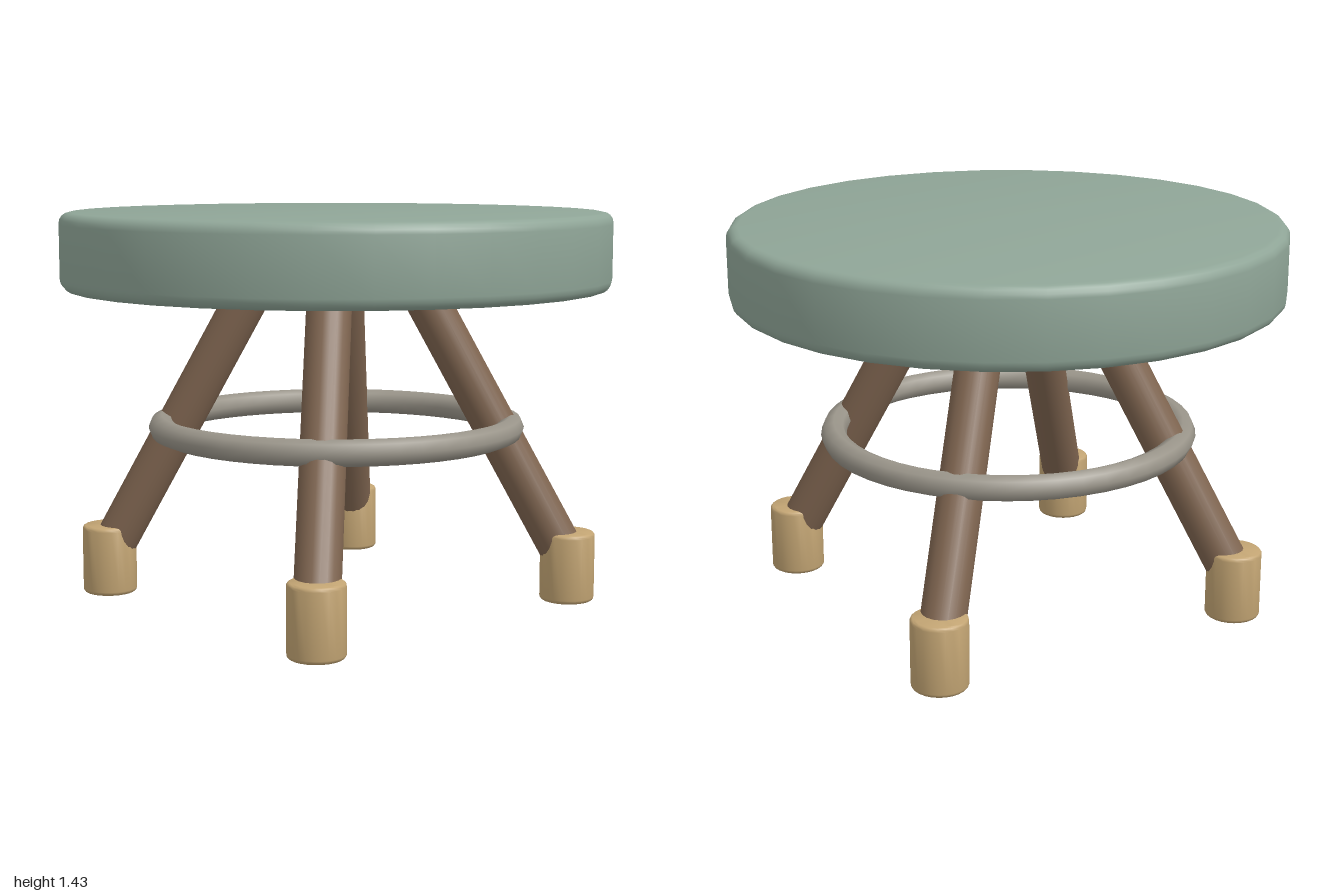
import * as THREE from 'three';
import { toCreasedNormals } from 'three/addons/utils/BufferGeometryUtils.js';

const mat = (color) => new THREE.MeshStandardMaterial({ color });

function part(name, geometry, material) {
  const mesh = new THREE.Mesh(geometry, material);
  mesh.name = name;
  return mesh;
}

// Upright disc from y0 to y1 with rounded rims
function roundedDisc(radius, y0, y1, bevel, sides) {
  const pts = [new THREE.Vector2(0, y0)];
  const steps = 4;
  for (const [cy, start] of [[y0 + bevel, -Math.PI / 2], [y1 - bevel, 0]]) {
    for (let i = 0; i <= steps; i++) {
      const a = start + (i / steps) * Math.PI / 2;
      pts.push(new THREE.Vector2(radius - bevel + Math.cos(a) * bevel, cy + Math.sin(a) * bevel));
    }
  }
  pts.push(new THREE.Vector2(0, y1));
  return toCreasedNormals(new THREE.LatheGeometry(pts, sides), 0.6);
}

// Cylinder between two points
function rod(name, from, to, radius, material) {
  const dir = to.clone().sub(from);
  const mesh = part(name, new THREE.CylinderGeometry(radius, radius, dir.length(), 20), material);
  mesh.position.copy(from).add(to).multiplyScalar(0.5);
  mesh.quaternion.setFromUnitVectors(new THREE.Vector3(0, 1, 0), dir.normalize());
  return mesh;
}

export function createModel() {
  const group = new THREE.Group();
  group.name = 'stool';
  const seatMat = mat(0x8fa597), woodMat = mat(0x7f6550), footMat = mat(0xc2a473), ringMat = mat(0x9a958a);

  // Round cushion
  group.add(part('seat', roundedDisc(1, 1.15, 1.43, 0.04, 32), seatMat));

  // Foot ring
  const ring = part('footRing', new THREE.TorusGeometry(0.643, 0.047, 8, 48), ringMat);
  ring.rotation.x = Math.PI / 2;
  ring.position.y = 0.645;
  group.add(ring);

  // Four splayed legs, each standing in a cylindrical foot
  const footGeometry = roundedDisc(0.1, 0, 0.257, 0.015, 24);
  for (const [front, sz] of [['front', 1], ['back', -1]]) {
    for (const [side, sx] of [['Left', 1], ['Right', -1]]) {
      const top = new THREE.Vector3(0.234 * sx, 1.108, 0.234 * sz);
      const bottom = new THREE.Vector3(0.605 * sx, 0.15, 0.605 * sz);
      group.add(rod(`${front}${side}Leg`, bottom, top, 0.08, woodMat));
      const foot = part(`${front}${side}Foot`, footGeometry, footMat);
      foot.position.set(0.605 * sx, 0, 0.605 * sz);
      group.add(foot);
    }
  }
  return group;
}
